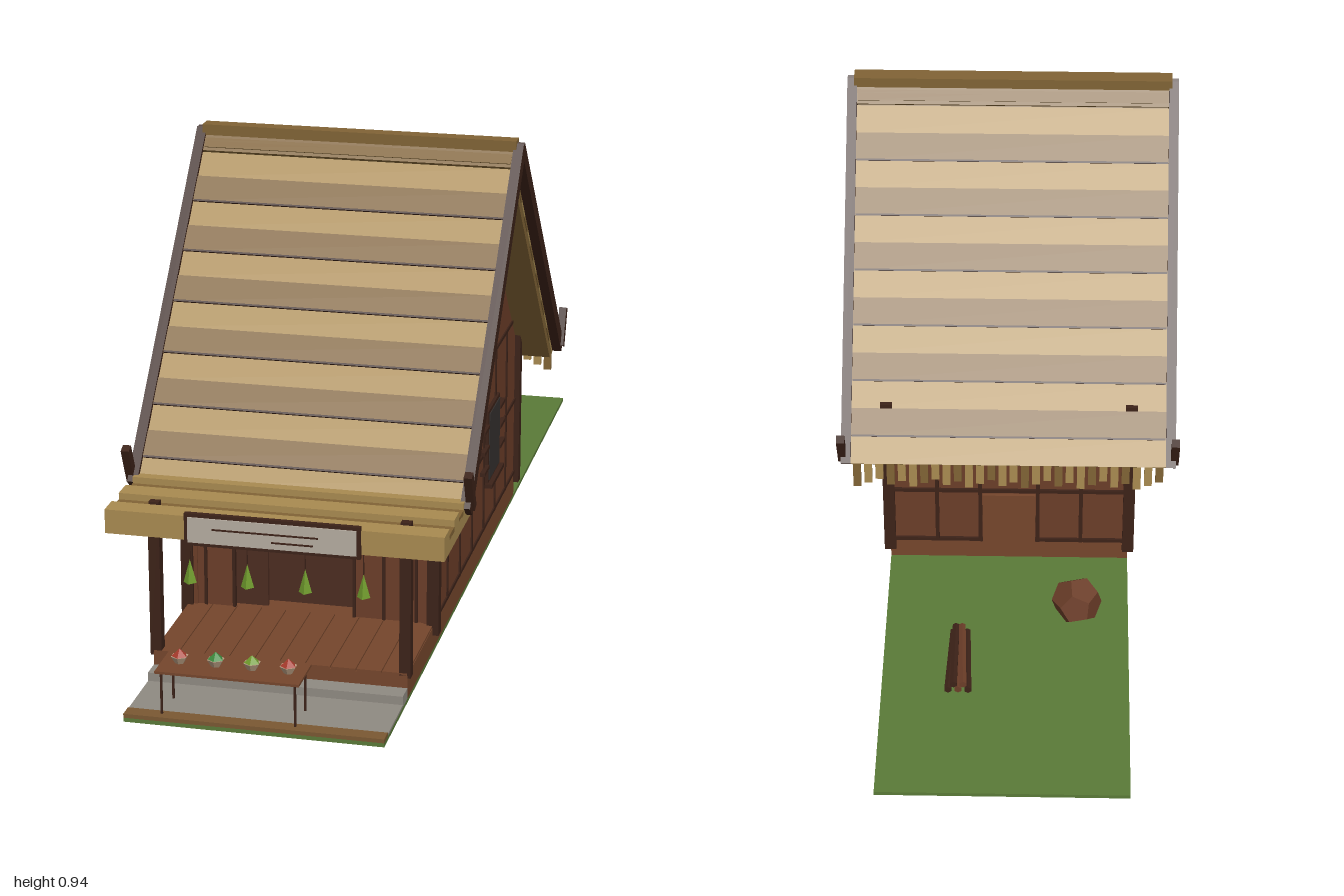
import * as THREE from 'three';

const mat = (color) => new THREE.MeshStandardMaterial({ color, flatShading: true });
const M = {
  grass: mat(0x5a7a38), stone: mat(0x8f8a82), wall: mat(0x6b3d28), inner: mat(0x4c2c20),
  dark: mat(0x3c2218), floor: mat(0x75462c), straw: mat(0xa88a50), strawDark: mat(0x806335),
  plank: mat(0x7a5832), pane: mat(0x34302e), board: mat(0xb5aca0), lime: mat(0x6f9a2c),
  red: mat(0xa83a2c), green: mat(0x3c8a3c), clay: mat(0xb89c80),
};

export function createModel() {
  const model = new THREE.Group();
  const add = (parent, name, geo, m, x, y, z) => {
    const mesh = new THREE.Mesh(geo, m);
    mesh.name = name;
    mesh.position.set(x, y, z);
    parent.add(mesh);
    return mesh;
  };
  const group = (name, parent = model) => {
    const g = new THREE.Group();
    g.name = name;
    parent.add(g);
    return g;
  };
  // Box given by its extents on each axis
  const box = (parent, name, m, [x0, x1], [y0, y1], [z0, z1]) =>
    add(parent, name, new THREE.BoxGeometry(x1 - x0, y1 - y0, z1 - z0), m,
      (x0 + x1) / 2, (y0 + y1) / 2, (z0 + z1) / 2);

  // Ground, paving and raised floor
  const ground = group('ground');
  box(ground, 'lawn', M.grass, [-0.25, 0.25], [0, 0.008], [-1, 1]);
  box(ground, 'paving', M.stone, [-0.25, 0.25], [0.008, 0.013], [0.8, 0.97]);
  box(ground, 'kerbPlank', M.plank, [-0.25, 0.25], [0.008, 0.016], [0.97, 1]);
  box(ground, 'step', M.stone, [-0.25, 0.25], [0.008, 0.03], [0.8, 0.84]);
  box(ground, 'platform', M.floor, [-0.25, 0.25], [0.008, 0.055], [-0.32, 0.8]);
  for (let i = 0; i < 10; i++)
    box(ground, 'floorboard', M.floor, [-0.249 + i * 0.05, -0.201 + i * 0.05], [0.055, 0.06], [0.55, 0.8]);

  // Gabled side walls with studs, rails and a barred window
  const gable = new THREE.Shape([[0.56, 0.06], [0.56, 0.41], [0.12, 0.885], [-0.32, 0.41], [-0.32, 0.06]]
    .map(([z, y]) => new THREE.Vector2(-z, y)));
  const gableGeo = new THREE.ExtrudeGeometry(gable, { depth: 0.02, bevelEnabled: false });
  for (const s of [-1, 1]) {
    const side = group(s > 0 ? 'leftSide' : 'rightSide');
    const wall = add(side, 'gableWall', gableGeo, M.wall, s * 0.24 - 0.01, 0, 0);
    wall.rotation.y = Math.PI / 2;
    const strip = (name, m, y, z, out = 0.256) =>
      box(side, name, m, s > 0 ? [0.245, out] : [-out, -0.245], y, z);
    for (let i = 1; i < 7; i++) strip('stud', M.dark, [0.06, 0.425], [0.552 - i * 0.127, 0.56 - i * 0.127], 0.253);
    for (const y of [0.065, 0.235, 0.428]) strip('rail', M.dark, [y - 0.004, y + 0.004], [-0.32, 0.55], 0.253);
    strip('windowFrame', M.dark, [0.158, 0.323], [-0.1, 0.03], 0.257);
    strip('windowPane', M.pane, [0.168, 0.315], [-0.092, 0.022], 0.259);
    strip('windowSill', M.dark, [0.153, 0.162], [-0.105, 0.035], 0.267);
    for (const y of [0.2, 0.245, 0.29])
      for (const z of [0.055, -0.125]) strip('windowBar', M.dark, [y - 0.004, y + 0.004], [z - 0.027, z + 0.027], 0.26);

    // Corner posts pass through the roof; porch posts carry the canopy
    for (const z of [0.555, -0.325])
      box(side, 'cornerPost', M.dark, [s * 0.25 - 0.012, s * 0.25 + 0.012], [0.04, 0.435], [z - 0.012, z + 0.012]);
    box(side, 'porchPost', M.dark, [s * 0.245 - 0.011, s * 0.245 + 0.011], [0.05, 0.352], [0.778, 0.8]);
  }

  // Front wall with a wide opening
  const front = group('frontWall');
  box(front, 'rightPanel', M.wall, [-0.235, -0.155], [0.06, 0.41], [0.54, 0.556]);
  box(front, 'leftPanel', M.wall, [0.09, 0.235], [0.06, 0.41], [0.54, 0.556]);
  box(front, 'lintel', M.wall, [-0.155, 0.09], [0.3, 0.41], [0.54, 0.556]);
  box(front, 'slidingDoor', M.inner, [-0.155, -0.09], [0.06, 0.3], [0.53, 0.54]);
  box(front, 'innerScreen', M.inner, [-0.235, 0.235], [0.06, 0.4], [0.5, 0.51]);
  for (const x of [-0.213, -0.155, 0.09, 0.15, 0.215])
    box(front, 'frontStud', M.dark, [x - 0.003, x + 0.003], [0.06, 0.4], [0.55, 0.56]);
  for (const [a, b] of [[-0.235, -0.155], [0.09, 0.235]])
    box(front, 'frontRail', M.dark, [a, b], [0.202, 0.208], [0.55, 0.56]);

  // Back wall with a low framed door
  const back = group('backWall');
  box(back, 'backPanel', M.wall, [-0.24, 0.24], [0.06, 0.41], [-0.326, -0.306]);
  for (const y of [0.065, 0.2, 0.32]) box(back, 'backRail', M.dark, [-0.24, 0.24], [y - 0.004, y + 0.004], [-0.331, -0.32]);
  for (const x of [-0.15, -0.06, 0.06, 0.15]) box(back, 'backStud', M.dark, [x - 0.004, x + 0.004], [0.06, 0.4], [-0.331, -0.32]);
  box(back, 'backDoor', M.floor, [-0.055, 0.055], [0.06, 0.19], [-0.333, -0.32]);

  // Two thatched slopes: local z runs down from the ridge
  const roof = group('roof');
  for (const facing of [0, Math.PI]) {
    const half = group('roofHalf', roof);
    half.position.set(0, 0, 0.12);
    half.rotation.y = facing;
    const slope = group('slope', half);
    slope.position.y = 0.925;
    slope.rotation.x = Math.atan2(0.58, 0.53);
    box(slope, 'thatchBase', M.strawDark, [-0.318, 0.318], [-0.045, -0.008], [0, 0.78]);
    for (let i = 0; i < 13; i++) {
      const d = 0.055 + i * 0.0565;
      const lift = i % 2 ? 0.003 : 0;
      box(slope, 'thatchBand', i % 2 ? M.strawDark : M.straw, [-0.32, 0.32], [-0.03, lift], [d, d + 0.0565]);
      if (i % 2) box(slope, 'thatchEdge', M.dark, [-0.319, 0.319], [-0.02, 0.004], [d + 0.054, d + 0.058]);
    }
    box(slope, 'topBand', M.strawDark, [-0.32, 0.32], [-0.03, 0.002], [0, 0.052]);
    for (const s of [-1, 1]) {
      box(slope, 'bargeBoard', M.dark, [s * 0.33 - 0.01, s * 0.33 + 0.01], [-0.022, 0.008], [0, 0.79]);
      const horn = add(half, 'eaveHorn', new THREE.BoxGeometry(0.016, 0.085, 0.018), M.dark, s * 0.338, 0.38, 0.53);
      horn.rotation.x = 0.42;
    }
    // Ragged straw fringe; the front one tucks under the canopy
    for (let i = 0; i < 28; i++) {
      const x = -0.308 + i * 0.0228;
      const low = 0.28 + ((i * 7) % 5) * 0.005 + (facing ? 0 : 0.004);
      box(half, 'fringe', i % 3 ? M.straw : M.strawDark, [x - 0.008, x + 0.008], [low, 0.345], [0.522, 0.53]);
    }
  }
  box(roof, 'ridgeCap', M.strawDark, [-0.326, 0.326], [0.915, 0.937], [0.104, 0.136]);

  // Porch canopy
  const canopy = group('canopy');
  box(canopy, 'canopySlab', M.straw, [-0.328, 0.328], [0.31, 0.338], [0.57, 0.84]);
  for (let i = 0; i < 6; i++)
    box(canopy, 'canopyBoard', i % 2 ? M.strawDark : M.straw, [-0.328, 0.328],
      [0.335, i % 2 ? 0.345 : 0.358], [0.795 - i * 0.045, 0.84 - i * 0.045]);
  for (const s of [-1, 1]) box(canopy, 'postPeg', M.dark, [s * 0.245 - 0.01, s * 0.245 + 0.01], [0.34, 0.363], [0.78, 0.795]);

  // Blank hanging board with two carved strips
  const sign = group('signBoard');
  box(sign, 'signFrame', M.dark, [-0.17, 0.17], [0.303, 0.367], [0.838, 0.848]);
  box(sign, 'signPanel', M.board, [-0.163, 0.163], [0.31, 0.36], [0.846, 0.851]);
  box(sign, 'upperStrip', M.dark, [-0.115, 0.09], [0.338, 0.341], [0.85, 0.853]);
  box(sign, 'lowerStrip', M.dark, [0, 0.08], [0.322, 0.325], [0.85, 0.853]);

  // Hanging herb bundles
  const herbs = group('herbBundles');
  for (let i = 0; i < 4; i++) {
    const x = -0.177 + i * 0.1133;
    add(herbs, 'herbBundle', new THREE.ConeGeometry(0.013, 0.047, 4), M.lime, x, 0.227, 0.79);
    box(herbs, 'herbString', M.dark, [x - 0.001, x + 0.001], [0.25, 0.312], [0.789, 0.791]);
  }

  // Stall table with four filled bowls
  const stall = group('stallTable');
  box(stall, 'tableTop', M.floor, [-0.19, 0.087], [0.1, 0.105], [0.893, 0.992]);
  for (const x of [-0.18, 0.077])
    for (const z of [0.905, 0.982]) box(stall, 'tableLeg', M.dark, [x - 0.002, x + 0.002], [0.01, 0.1], [z - 0.002, z + 0.002]);
  [M.red, M.green, M.lime, M.red].forEach((m, i) => {
    const x = -0.155 + i * 0.07;
    add(stall, 'bowl', new THREE.CylinderGeometry(0.017, 0.009, 0.014, 6), M.clay, x, 0.112, 0.943);
    add(stall, 'produce', new THREE.ConeGeometry(0.016, 0.015, 5), m, x, 0.126, 0.943);
  });

  // Yard: squat faceted tub and stacked logs
  const tub = add(model, 'tub', new THREE.DodecahedronGeometry(0.052), M.wall, -0.143, 0.058, -0.505);
  tub.rotation.set(0.2, 0.5, 0.1);
  const logs = group('logPile');
  [[0.078, 0.016], [0.095, 0.017], [0.112, 0.016], [0.088, 0.031], [0.104, 0.031]].forEach(([x, y], i) => {
    const log = add(logs, 'log', new THREE.CylinderGeometry(0.008, 0.008, 0.17, 6), i % 2 ? M.wall : M.dark, x, y, -0.642);
    log.rotation.set(Math.PI / 2, 0, (i % 3 - 1) * 0.04);
  });
  return model;
}
